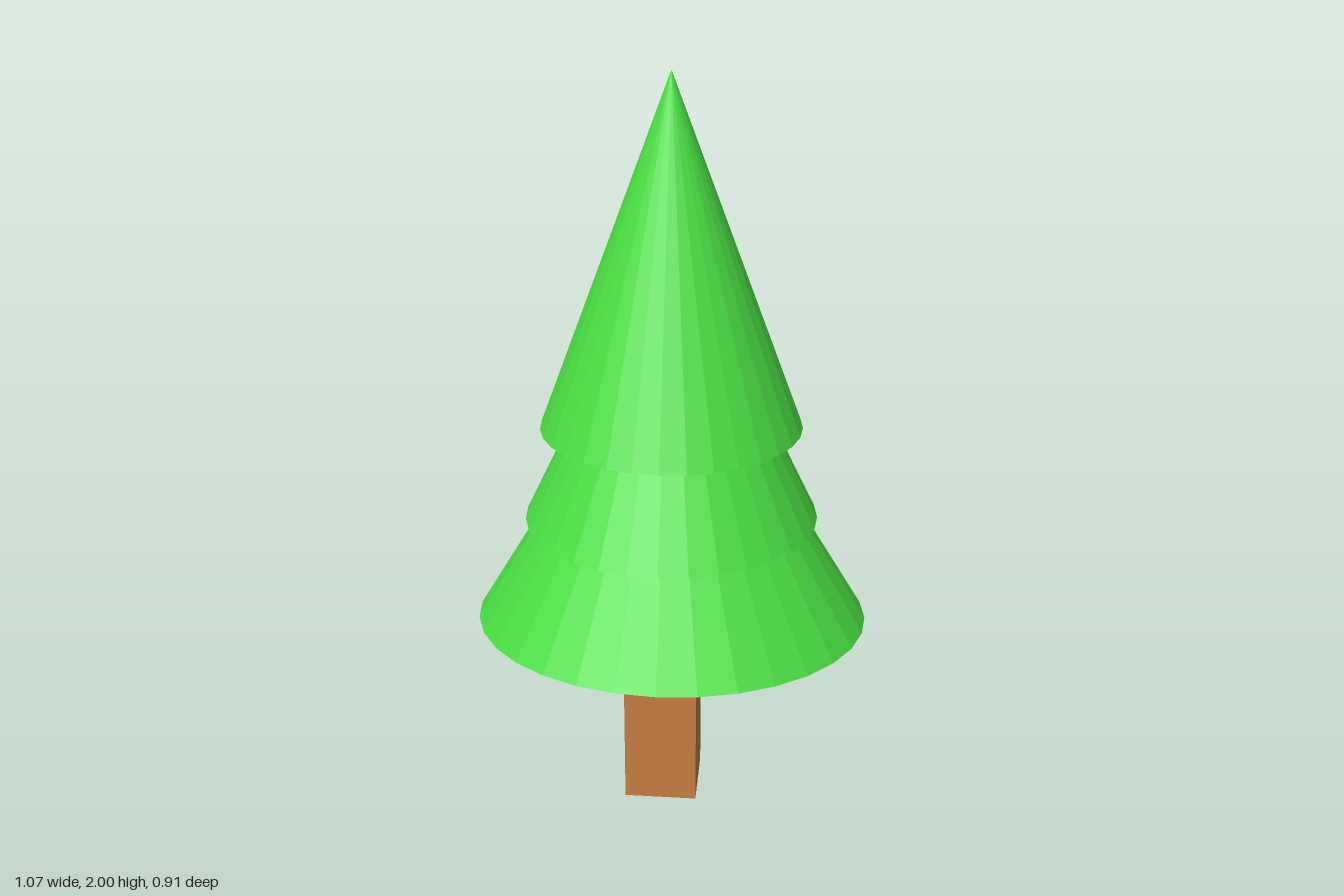
import * as THREE from 'three';

export function createModel() {
  const tree = new THREE.Group();
  tree.name = 'pineTree';

  const leafMaterial = new THREE.MeshStandardMaterial({ color: 0x4ae043, flatShading: true });
  const barkMaterial = new THREE.MeshStandardMaterial({ color: 0xc87e42, flatShading: true });

  // Foliage: three closed cones, the lowest one oval
  const tiers = [
    { name: 'lowerFoliage', base: 0.535, tip: 1.42, rx: 0.535, rz: 0.455 },
    { name: 'middleFoliage', base: 0.835, tip: 1.64, rx: 0.393, rz: 0.393 },
    { name: 'upperFoliage', base: 1.09, tip: 2, rx: 0.346, rz: 0.346 },
  ];
  for (const { name, base, tip, rx, rz } of tiers) {
    const geometry = new THREE.ConeGeometry(1, tip - base, 32);
    geometry.scale(rx, 1, rz);
    const cone = new THREE.Mesh(geometry, leafMaterial);
    cone.name = name;
    cone.position.y = (base + tip) / 2;
    tree.add(cone);
  }

  // Square trunk, slightly off centre
  const trunk = new THREE.Mesh(new THREE.BoxGeometry(0.2, 0.54, 0.2), barkMaterial);
  trunk.name = 'trunk';
  trunk.position.set(-0.02, 0.27, 0.033);
  tree.add(trunk);

  return tree;
}
